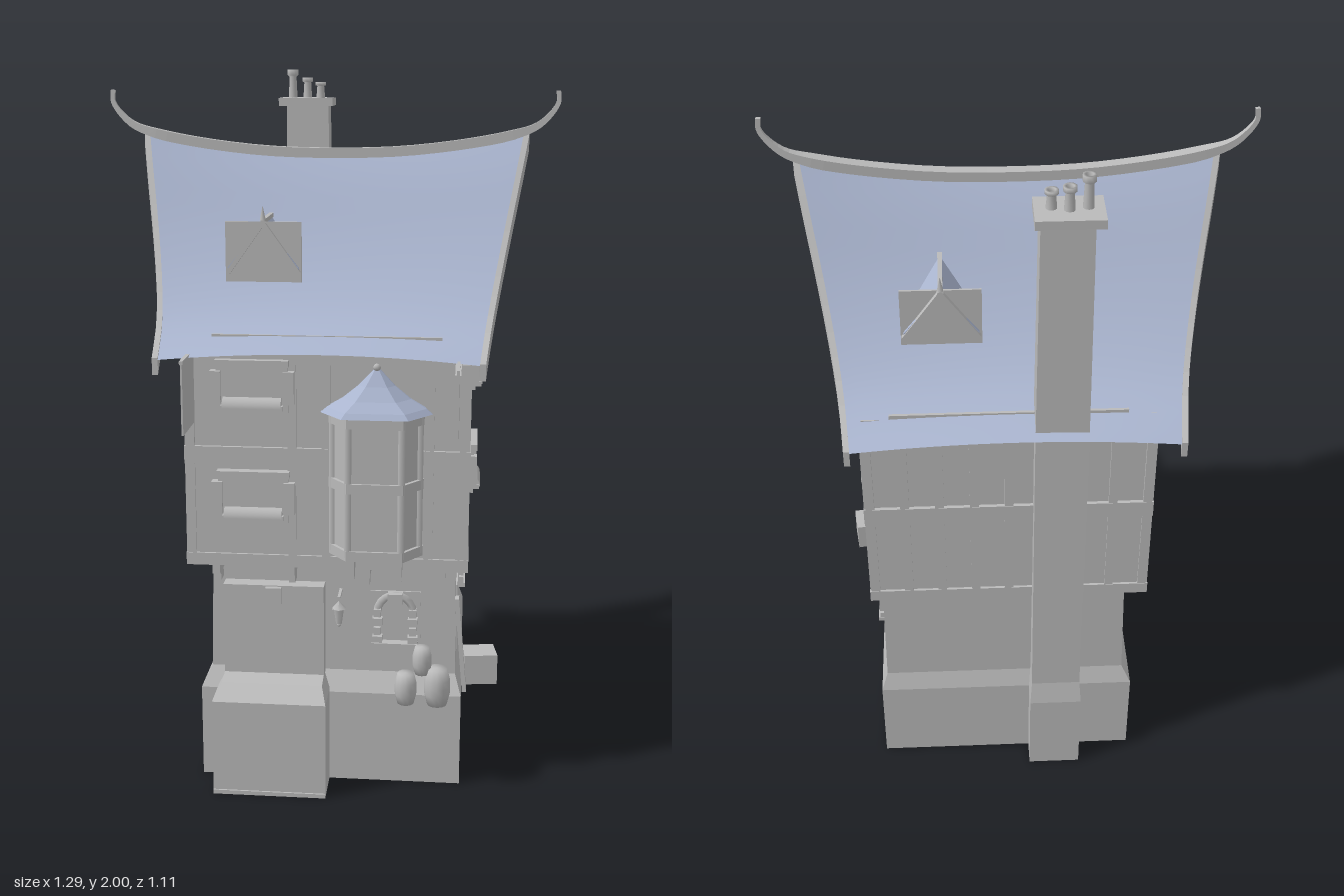
import * as THREE from 'three';

const stone = new THREE.MeshStandardMaterial({ color: 0xbababa, side: THREE.DoubleSide });
stone.name = 'plain grey';
const slate = new THREE.MeshStandardMaterial({ color: 0xaab5cf, side: THREE.DoubleSide });
slate.name = 'slate blue';

const CX = 0.02, CZ = -0.0625, RIDGE_Z = -0.055;

function add(parent, name, geo, x = 0, y = 0, z = 0, mat = stone) {
  const m = new THREE.Mesh(geo, mat);
  m.name = name;
  m.position.set(x, y, z);
  parent.add(m);
  return m;
}
const box = (parent, name, w, h, d, x, y, z) => add(parent, name, new THREE.BoxGeometry(w, h, d), x, y, z);

// Flat-shaded skin through rings of equal length, optionally capped
function loft(rings, capStart = true, capEnd = true) {
  const p = [], n = rings[0].length;
  const tri = (a, b, c) => p.push(...a, ...b, ...c);
  for (let i = 0; i < rings.length - 1; i++)
    for (let j = 0; j < n; j++) {
      const k = (j + 1) % n, a = rings[i], b = rings[i + 1];
      tri(a[j], b[k], a[k]);
      tri(a[j], b[j], b[k]);
    }
  const last = rings[rings.length - 1];
  for (let j = 1; j < n - 1; j++) {
    if (capStart) tri(rings[0][0], rings[0][j], rings[0][j + 1]);
    if (capEnd) tri(last[0], last[j + 1], last[j]);
  }
  const g = new THREE.BufferGeometry();
  g.setAttribute('position', new THREE.Float32BufferAttribute(p, 3));
  g.computeVertexNormals();
  return g;
}
const rect = (x0, x1, z0, z1, y) => [[x0, y, z0], [x1, y, z0], [x1, y, z1], [x0, y, z1]];

// Roof slope: distance from ridge and height, with a sag along the ridge
const slope = new THREE.SplineCurve([[0, 1.79], [0.06, 1.7], [0.15, 1.555], [0.25, 1.425], [0.36, 1.325], [0.5, 1.255]]
  .map(([d, y]) => new THREE.Vector2(d, y)));
function roofPoint(u, s, dir) {
  const q = slope.getPoint(s);
  const half = 0.435 + 0.112 * (q.y - 1.255) / 0.535;
  const y = q.y + (1 - s) * (-0.03 + 0.06 * u * u) + s * 0.022 * (1 - u * u);
  return [u * half + 0.005, y, RIDGE_Z + dir * q.x];
}

function roofSide(dir) {
  const g = new THREE.PlaneGeometry(1, 1, 20, 16), pos = g.attributes.position;
  for (let i = 0; i < pos.count; i++)
    pos.setXYZ(i, ...roofPoint(pos.getX(i) * 2 * dir, 0.5 - pos.getY(i), dir));
  g.computeVertexNormals();
  return g;
}

function bargeBoard(end, dir) {
  const rings = [];
  for (let i = 0; i <= 12; i++) {
    const [x, y, z] = roofPoint(end, i / 12, dir), o = x + end * 0.006, n = x - end * 0.01;
    rings.push([[n, y + 0.006, z], [o, y + 0.006, z], [o, y - 0.04, z], [n, y - 0.04, z]]);
  }
  return loft(rings);
}

// Ridge beam with upturned, tapering horns
function ridgeBeam() {
  const half = [[0, 1.77], [0.2, 1.776], [0.4, 1.8], [0.52, 1.825], [0.58, 1.848], [0.62, 1.885], [0.637, 1.915], [0.635, 1.945]];
  const pts = [...half.slice(1).reverse().map(([x, y]) => [-x, y]), ...half];
  const curve = new THREE.CatmullRomCurve3(pts.map(([x, y]) => new THREE.Vector3(x, y, RIDGE_Z + 0.005)));
  const rings = [];
  for (let i = 0; i <= 48; i++) {
    const c = curve.getPoint(i / 48), t = curve.getTangent(i / 48);
    const f = Math.max(0, (Math.abs(c.x) - 0.5) / 0.14), w = 0.016 - 0.011 * Math.min(1, f), h = 0.014 - 0.008 * Math.min(1, f);
    rings.push([[-1, -1], [1, -1], [1, 1], [-1, 1]].map(([a, b]) => [c.x - t.y * h * b, c.y + t.x * h * b, c.z + w * a]));
  }
  return loft(rings);
}

// Gable wall that follows the roof slope
function gable(end) {
  const s = new THREE.Shape();
  s.moveTo(-0.42, 1.24);
  const y = t => slope.getPoint(t).y - 0.022;
  for (let i = -10; i <= 10; i++) {
    const t = Math.abs(i) / 10 * 0.84;
    s.lineTo(Math.sign(i) * slope.getPoint(t).x, y(t));
  }
  s.lineTo(0.42, 1.24);
  const g = new THREE.ExtrudeGeometry(s, { depth: 0.02, bevelEnabled: false });
  g.rotateY(Math.PI / 2);
  g.translate(CX + end * 0.375 - 0.01, 0, RIDGE_Z);
  return g;
}

// Timber window: frame, shutters, lintel and rounded planter
function timberWindow(parent, x, y, d) {
  const g = new THREE.Group();
  g.name = 'timberWindow';
  g.position.set(x, y, d);
  parent.add(g);
  box(g, 'windowFrame', 0.195, 0.14, 0.02, 0, 0.01, 0.008);
  box(g, 'windowLintel', 0.2, 0.018, 0.035, 0, 0.077, 0.01);
  for (const s of [-1, 1]) box(g, 'shutter', 0.03, 0.09, 0.03, s * 0.1, 0.01, 0.012);
  const planter = add(g, 'planter', new THREE.CylinderGeometry(0.03, 0.03, 0.16, 10, 1, false, 0, Math.PI), 0, -0.045, 0.008);
  planter.rotation.z = Math.PI / 2;
  planter.scale.y = 1;
  box(g, 'planterRim', 0.17, 0.014, 0.034, 0, -0.045, 0.018);
}

// Stone window: pane, stacked jamb stones, arch and keystone
function stoneWindow(parent, x, y, d, depth = 0.02) {
  const g = new THREE.Group();
  g.name = 'stoneWindow';
  g.position.set(x, y, d);
  parent.add(g);
  box(g, 'windowPane', 0.143, 0.16, 0.008, 0, 0, 0.002);
  for (const s of [-1, 1])
    for (let i = 0; i < 4; i++)
      box(g, 'jambStone', i % 2 ? 0.02 : 0.028, 0.022, depth, s * 0.05, -0.06 + i * 0.027, depth / 2);
  add(g, 'windowArch', new THREE.TorusGeometry(0.05, 0.011, 4, 10, Math.PI), 0, 0.022, depth / 2);
  box(g, 'keystone', 0.042, 0.036, depth + 0.008, 0, 0.062, depth / 2);
  box(g, 'windowSill', 0.13, 0.014, depth + 0.01, 0, -0.074, depth / 2);
}

// Timber framing on one wall, drawn in the wall's own frame (z outward)
function timberWall(parent, angle, width, dist, openings) {
  const g = new THREE.Group();
  g.name = 'timberWall';
  g.position.set(CX, 0, CZ);
  g.rotation.y = angle;
  parent.add(g);
  for (const [y, h] of [[0.675, 0.035], [0.975, 0.05], [1.25, 0.035]])
    box(g, 'crossBeam', width + 0.012, h, 0.014, 0, y, dist);
  const n = 8;
  for (const [y, h] of [[0.82, 0.27], [1.115, 0.24]])
    for (let i = 0; i <= n; i++) {
      const x = (i / n - 0.5) * (width - 0.02);
      if (!openings.some(o => Math.abs(x - o) < 0.09)) box(g, 'timberPost', 0.024, h, 0.012, x, y, dist);
    }
  return g;
}

function dormer(parent, x, dir) {
  const g = new THREE.Group();
  g.name = 'dormer';
  g.position.set(x, 0, RIDGE_Z);
  g.rotation.y = dir > 0 ? 0 : Math.PI;
  parent.add(g);
  box(g, 'dormerFace', 0.21, 0.165, 0.006, 0, 1.518, 0.278);
  for (const s of [-1, 1]) {
    const a = [0, 1.6, 0.08], b = [0, 1.6, 0.29], c = [s * 0.098, 1.475, 0.29], d = [s * 0.098, 1.475, 0.14];
    const low = p => [p[0], p[1] - 0.006, p[2]];
    add(g, 'dormerRoof', loft([[a, b, c, d], [a, b, c, d].map(low)]), 0, 0, 0, slate);
    const board = box(g, 'dormerBoard', 0.012, 0.175, 0.014, s * 0.047, 1.532, 0.288);
    board.rotation.z = s * 0.62;
  }
  box(g, 'dormerRidge', 0.012, 0.012, 0.215, 0, 1.602, 0.185);
  add(g, 'dormerFinial', new THREE.ConeGeometry(0.009, 0.04, 6), 0, 1.625, 0.288);
}

function oriel(parent) {
  const g = new THREE.Group();
  g.name = 'oriel';
  g.position.set(0.157, 0, 0.355);
  parent.add(g);
  const ring = (s, y) => [[-0.122, -0.02], [-0.122, 0.01], [-0.072, 0.078], [0.072, 0.078], [0.122, 0.01], [0.122, -0.02]]
    .map(([x, z]) => [x * s, y, z * s]);
  add(g, 'orielBody', loft([ring(0.97, 0.71), ring(0.97, 1.11)]));
  for (const y of [0.72, 0.91, 1.09]) add(g, 'orielBand', loft([ring(1.06, y - 0.014), ring(1.06, y + 0.014)]));
  for (const s of [-1, 1]) {
    for (const [x, z] of [[0.072, 0.072], [0.118, 0.01]])
      add(g, 'orielPost', new THREE.CylinderGeometry(0.011, 0.011, 0.39, 6), s * x, 0.91, z);
    box(g, 'orielBracket', 0.02, 0.035, 0.05, s * 0.065, 0.685, 0.035);
    box(g, 'orielBracketFoot', 0.016, 0.035, 0.03, s * 0.065, 0.655, 0.02);
  }
  const roof = [[1.24, 1.105], [1.1, 1.12], [0.75, 1.145], [0.4, 1.18], [0.06, 1.225]].map(([s, y]) => ring(s, y));
  add(g, 'orielRoof', loft(roof), 0, 0, 0, slate);
  add(g, 'orielFinial', new THREE.SphereGeometry(0.011, 8, 6), 0, 1.23, 0.004);
}

export function createModel() {
  const house = new THREE.Group();
  house.name = 'timberHouse';

  // Stone ground floor, open underneath, and the jettied storeys
  add(house, 'stoneBase', loft([rect(-0.345, 0.4, -0.48, 0.32, 0), rect(-0.345, 0.4, -0.48, 0.32, 0.27),
    rect(-0.318, 0.382, -0.462, 0.285, 0.325), rect(-0.31, 0.378, -0.465, 0.285, 0.66)], false, false));
  box(house, 'lowerStorey', 0.77, 0.32, 0.835, CX, 0.815, CZ);
  box(house, 'upperStorey', 0.764, 0.325, 0.829, CX, 1.137, CZ);

  // Porch with a sloped shoulder
  add(house, 'porch', loft([rect(-0.295, 0.025, 0.3, 0.44, 0), rect(-0.295, 0.025, 0.3, 0.44, 0.28), rect(-0.275, 0.01, 0.27, 0.385, 0.315),
    rect(-0.275, 0.01, 0.27, 0.33, 0.325), rect(-0.275, 0.01, 0.27, 0.33, 0.59)]));
  box(house, 'porchStep', 0.32, 0.012, 0.02, -0.135, 0.006, 0.435);
  box(house, 'porchKeystone', 0.045, 0.048, 0.02, -0.132, 0.563, 0.335);

  // Timber walls with their windows
  const front = timberWall(house, 0, 0.77, 0.4175, [-0.2, 0.137]);
  const back = timberWall(house, Math.PI, 0.77, 0.4175, [0.135]);
  back.name = 'backTimberWall';
  const left = timberWall(house, Math.PI / 2, 0.835, 0.385, [0]);
  const right = timberWall(house, -Math.PI / 2, 0.835, 0.385, [0]);
  for (const y of [0.85, 1.16]) {
    timberWindow(front, -0.2, y, 0.4175);
    timberWindow(left, 0, y, 0.385);
    timberWindow(right, 0, y, 0.385);
  }
  stoneWindow(front, 0.19, 0.49, 0.347, 0.03);
  stoneWindow(left, 0.2, 0.49, 0.361);
  stoneWindow(right, 0.02, 0.49, 0.333);
  for (const w of [left, right]) {
    box(w, 'gableWindow', 0.125, 0.14, 0.01, w === left ? -0.015 : 0.015, 1.44, 0.386);
    box(w, 'gableKeystone', 0.04, 0.036, 0.024, w === left ? -0.015 : 0.015, 1.493, 0.388);
  }
  box(left, 'wallPanel', 0.245, 0.205, 0.006, -0.12, 0.452, 0.361);

  // Jetty brackets
  for (const x of [-0.29, -0.08, 0.13, 0.34]) {
    box(house, 'jettyBracket', 0.022, 0.03, 0.08, x, 0.645, 0.315);
    box(house, 'jettyBracketFoot', 0.018, 0.03, 0.045, x, 0.615, 0.305);
  }

  // Roof, gables and ridge
  for (const s of [-1, 1]) {
    add(house, 'roofSlope', roofSide(s), 0, 0, 0, slate);
    add(house, 'gableWall', gable(s));
    for (const d of [-1, 1]) add(house, 'bargeBoard', bargeBoard(s, d));
    box(house, 'wallPlate', 0.62, 0.02, 0.008, CX, 1.302, s > 0 ? 0.355 : -0.472);
  }
  add(house, 'ridgeBeam', ridgeBeam());
  dormer(house, -0.165, 1);
  dormer(house, 0.188, -1);
  oriel(house);

  // Chimney with cap and pots
  add(house, 'chimney', loft([rect(-0.19, -0.04, -0.44, -0.55, 0), rect(-0.19, -0.04, -0.44, -0.55, 0.27), rect(-0.185, -0.045, -0.44, -0.535, 0.34),
    rect(-0.185, -0.045, -0.44, -0.53, 1.2), rect(-0.18, -0.05, -0.44, -0.522, 1.89)]));
  box(house, 'chimneyCap', 0.168, 0.024, 0.115, -0.12, 1.902, -0.48);
  const pot = [[0.014, 0], [0.011, 0.75], [0.017, 0.8], [0.017, 1], [0.01, 1], [0.01, 0.8]];
  for (const [x, z, h] of [[-0.165, -0.475, 0.086], [-0.12, -0.485, 0.062], [-0.078, -0.475, 0.048]])
    add(house, 'chimneyPot', new THREE.LatheGeometry(pot.map(([r, y]) => new THREE.Vector2(r, y * h)), 10), x, 1.914, z);

  // Hanging signs
  box(house, 'signBoard', 0.008, 0.21, 0.2, 0.375, 1.16, 0.455);
  box(house, 'signBracket', 0.016, 0.016, 0.2, 0.375, 1.245, 0.455);
  box(house, 'sideSignBoard', 0.005, 0.19, 0.16, -0.342, 1.165, 0.445);
  box(house, 'sideSignPole', 0.01, 0.01, 0.17, -0.342, 1.265, 0.44);

  // Barrels, crate and plank
  for (const [x, y, r, h] of [[0.245, 0.27, 0.031, 0.09], [0.333, 0.27, 0.037, 0.108], [0.29, 0.36, 0.027, 0.08]]) {
    const pts = [[0, 0], [0.75, 0], [0.97, 0.3], [1, 0.5], [0.97, 0.7], [0.75, 1], [0, 1]].map(([a, b]) => new THREE.Vector2(a * r, b * h));
    add(house, 'barrel', new THREE.LatheGeometry(pts, 12), x, y, 0.372);
  }
  const crate = box(house, 'crate', 0.095, 0.088, 0.085, 0.45, 0.316, 0.19);
  crate.rotation.y = 0.14;
  const plank = box(house, 'leaningPlank', 0.012, 0.28, 0.03, 0.396, 0.42, 0.295);
  plank.rotation.z = 0.09;

  // Lantern on a bracket
  box(house, 'lanternBracket', 0.008, 0.008, 0.08, 0.055, 0.568, 0.315);
  add(house, 'lanternHood', new THREE.ConeGeometry(0.021, 0.022, 6), 0.055, 0.548, 0.35);
  add(house, 'lanternBody', new THREE.CylinderGeometry(0.016, 0.009, 0.045, 6), 0.055, 0.515, 0.35);
  add(house, 'lanternTip', new THREE.SphereGeometry(0.006, 6, 4), 0.055, 0.488, 0.35);
  return house;
}
